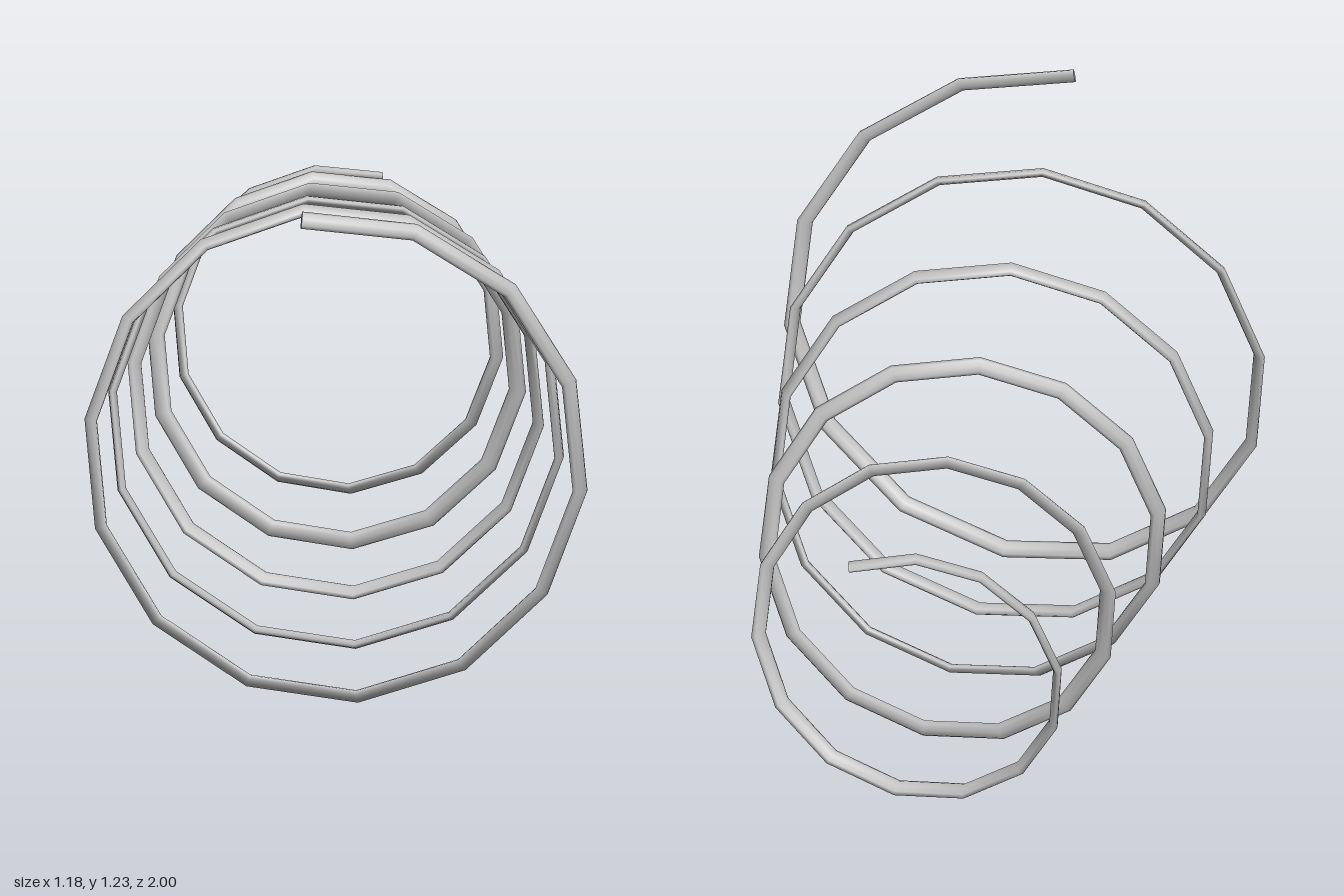
import * as THREE from 'three';

const PER_TURN = 14, SEGMENTS = 71, SIDES = 8;
const HALF_WIDE = 0.021, HALF_THIN = 0.0105;
const AXIS_SLOPE = 0.072;

// Centre line: a tapering helix about an axis turned slightly sideways,
// so each turn leans in z as the axis drifts to +x
function coilPoint(i) {
  const turn = i / PER_TURN;
  const angle = THREE.MathUtils.degToRad(-6.3) + turn * Math.PI * 2;
  const radius = 0.612 - 0.051 * turn;
  const side = radius * Math.sin(angle);
  return new THREE.Vector3(
    -0.0265 + 0.0281 * turn + side,
    0.603 + radius * Math.cos(angle),
    0.99 - 1.984 * i / SEGMENTS + AXIS_SLOPE * side
  );
}

// Flattened oval section carried along the path without extra twist
function buildRings() {
  const path = Array.from({ length: SEGMENTS + 1 }, (_, i) => coilPoint(i));
  const tilt = THREE.MathUtils.degToRad(-22);
  const wide = new THREE.Vector3(0, Math.cos(tilt), Math.sin(tilt));
  const turn = new THREE.Quaternion();
  let last = null;
  return path.map((p, i) => {
    const tangent = path[Math.min(i + 1, SEGMENTS)].clone()
      .sub(path[Math.max(i - 1, 0)]).normalize();
    if (last) wide.applyQuaternion(turn.setFromUnitVectors(last, tangent));
    wide.addScaledVector(tangent, -wide.dot(tangent)).normalize();
    last = tangent;
    const thin = tangent.clone().cross(wide);
    return Array.from({ length: SIDES }, (_, j) => {
      const s = j / SIDES * Math.PI * 2;
      return p.clone()
        .addScaledVector(wide, HALF_WIDE * Math.cos(s))
        .addScaledVector(thin, HALF_THIN * Math.sin(s));
    });
  });
}

function makeGeometry(points, index) {
  const geometry = new THREE.BufferGeometry().setFromPoints(points);
  geometry.setIndex(index);
  geometry.computeVertexNormals();
  return geometry;
}

export function createModel() {
  const group = new THREE.Group();
  group.name = 'coilSpring';
  const steel = new THREE.MeshStandardMaterial({ color: 0xc0c0c0 });
  steel.name = 'light grey steel';
  const add = (name, geometry) => {
    const mesh = new THREE.Mesh(geometry, steel);
    mesh.name = name;
    group.add(mesh);
  };

  // Wire
  const rings = buildRings();
  const index = [];
  for (let i = 0; i < SEGMENTS; i++) {
    for (let j = 0; j < SIDES; j++) {
      const k = (j + 1) % SIDES;
      const a = i * SIDES + j, b = i * SIDES + k;
      index.push(a, b, a + SIDES, b, b + SIDES, a + SIDES);
    }
  }
  add('wire', makeGeometry(rings.flat(), index));

  // Flat wire ends
  const front = [], back = [];
  for (let j = 1; j < SIDES - 1; j++) {
    front.push(0, j + 1, j);
    back.push(0, j, j + 1);
  }
  add('frontEnd', makeGeometry(rings[0], front));
  add('backEnd', makeGeometry(rings[SEGMENTS], back));
  return group;
}
